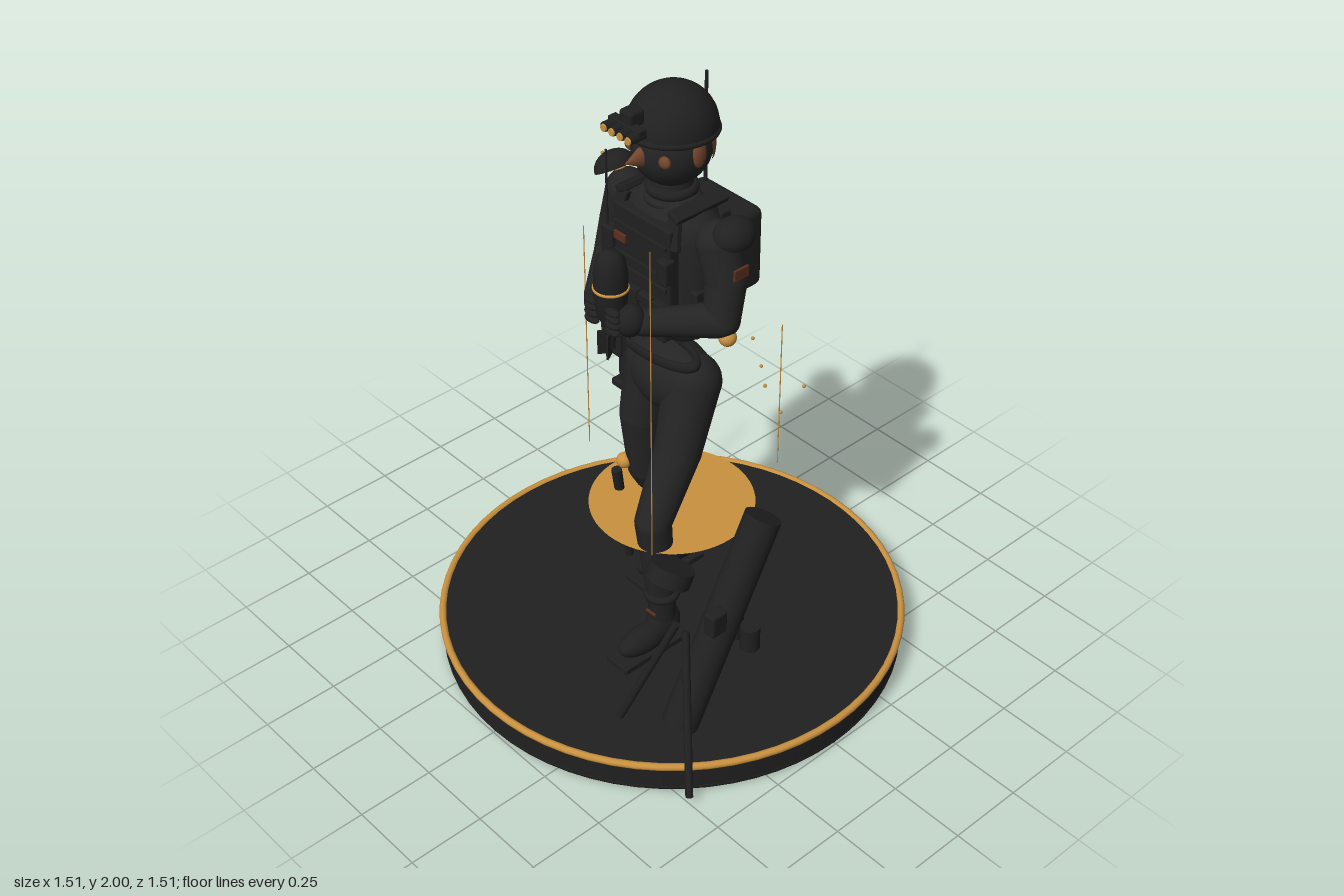
import * as THREE from 'three';
import { RoundedBoxGeometry } from 'three/addons/geometries/RoundedBoxGeometry.js';

const V = (x, y, z) => new THREE.Vector3(x, y, z);
const material = (name, color, side = THREE.FrontSide) => {
  const m = new THREE.MeshStandardMaterial({ color, side });
  m.name = name;
  return m;
};

export function createModel() {
  const root = new THREE.Group();
  root.name = 'soldierWithMortar';
  const cloth = material('charcoalCloth', 0x242424, THREE.DoubleSide);
  const gear = material('blackGear', 0x202020, THREE.DoubleSide);
  const gold = material('gold', 0xc9913f, THREE.DoubleSide);
  const skin = material('brownSkin', 0x74462d);
  const rust = material('rustPatch', 0x5c2f1e);

  const add = (name, geo, mat, x = 0, y = 0, z = 0, rx = 0, ry = 0, rz = 0) => {
    const m = new THREE.Mesh(geo, mat);
    m.name = name;
    m.position.set(x, y, z);
    m.rotation.set(rx, ry, rz);
    root.add(m);
    return m;
  };
  const ball = (name, mat, x, y, z, rx, ry = rx, rz = rx) =>
    add(name, new THREE.SphereGeometry(1, 24, 16).scale(rx, ry, rz), mat, x, y, z);
  const box = (name, mat, w, h, d, ...at) =>
    add(name, new RoundedBoxGeometry(w, h, d, 2, Math.min(w, h, d) * 0.2), mat, ...at);
  // tapered rod between two points
  const rod = (name, mat, a, b, ra, rb = ra, seg = 20) => {
    const d = b.clone().sub(a);
    const m = add(name, new THREE.CylinderGeometry(rb, ra, d.length(), seg), mat);
    m.position.copy(a).addScaledVector(d, 0.5);
    m.quaternion.setFromUnitVectors(V(0, 1, 0), d.normalize());
    return m;
  };
  // rounded chain of rods: each entry is [x, y, z, radius]
  const limb = (name, mat, pts) => pts.forEach((p, i) => {
    ball(name + 'Joint', mat, p[0], p[1], p[2], p[3]);
    const q = pts[i + 1];
    if (q) rod(name, mat, V(p[0], p[1], p[2]), V(q[0], q[1], q[2]), p[3], q[3]);
  });
  const ring = (name, mat, r, t, x, y, z, sx = 1, sz = 1) =>
    add(name, new THREE.TorusGeometry(r, t, 10, 64).rotateX(Math.PI / 2).scale(sx, 1, sz), mat, x, y, z);

  // Display base and floating disc
  add('base', new THREE.CylinderGeometry(0.745, 0.745, 0.095, 96), gear, 0, 0.0575, 0);
  ring('baseLowerEdge', gear, 0.735, 0.012, 0, 0.012, 0);
  ring('baseRim', gold, 0.745, 0.012, 0, 0.1, 0);
  add('floatingDisc', new THREE.CircleGeometry(0.263, 64).rotateX(-Math.PI / 2), gold, 0, 0.52, 0);

  // Legs: left steps forward, right trails behind
  ball('pelvis', cloth, 0, 1.02, 0, 0.165, 0.125, 0.105);
  limb('leftLeg', cloth, [[0.085, 1.03, -0.005, 0.09], [0.105, 0.82, 0.07, 0.074],
    [0.112, 0.6, 0.18, 0.058], [0.122, 0.3, 0.158, 0.046]]);
  limb('rightLeg', cloth, [[-0.085, 1.03, -0.005, 0.09], [-0.105, 0.82, 0.025, 0.074],
    [-0.112, 0.6, 0.01, 0.058], [-0.122, 0.3, -0.145, 0.046]]);
  for (const [side, x, z] of [['left', 0.126, 0.158], ['right', -0.122, -0.14]]) {
    ring(side + 'Gaiter', gear, 0.044, 0.014, x, 0.31, z);
    rod(side + 'BootShaft', gear, V(x, 0.18, z), V(x, 0.3, z), 0.048, 0.042);
    ball(side + 'BootHeel', gear, x, 0.19, z - 0.005, 0.05, 0.07, 0.058);
    ball(side + 'BootToe', gear, x, 0.16, z + 0.075, 0.046, 0.046, 0.1);
    box(side + 'Sole', gear, 0.095, 0.022, 0.265, x, 0.115, z + 0.06);
    box(side + 'BootTab', rust, 0.04, 0.008, 0.008, x, 0.25, z + 0.046);
  }
  ball('kneeStud', gold, -0.145, 0.63, 0.07, 0.026);
  box('holster', gear, 0.04, 0.13, 0.07, -0.165, 0.98, 0.02);
  box('holsterGrip', gear, 0.03, 0.06, 0.045, -0.168, 1.05, 0.02);
  box('holsterStrap', gear, 0.07, 0.025, 0.1, -0.165, 0.91, 0.02);
  rod('scabbard', gear, V(-0.155, 0.6, 0.095), V(-0.155, 0.22, 0.045), 0.017, 0.013, 10);

  // Torso and belt
  const profile = [[0.001, 1.18], [0.1, 1.19], [0.145, 1.23], [0.16, 1.33], [0.172, 1.45],
    [0.18, 1.56], [0.165, 1.62], [0.11, 1.655], [0.07, 1.67], [0.001, 1.675]];
  add('torso', new THREE.LatheGeometry(profile.map(([x, y]) => new THREE.Vector2(x, y)), 40)
    .scale(1, 1, 0.6), cloth);
  ring('belt', gear, 0.165, 0.017, 0, 1.158, 0.065, 1, 0.38);

  // Vest, pouches and straps
  box('vestFront', gear, 0.24, 0.3, 0.04, 0, 1.47, 0.1);
  box('vestBack', gear, 0.24, 0.3, 0.04, 0, 1.45, -0.1);
  for (const x of [-0.09, -0.03, 0.03, 0.09]) {
    box('magazinePouch', gear, 0.052, 0.11, 0.045, x, 1.3, 0.115);
    box('pouchFlap', gear, 0.056, 0.03, 0.05, x, 1.36, 0.116);
  }
  for (const y of [1.42, 1.46, 1.56]) box('webbing', gear, 0.22, 0.014, 0.01, 0, y, 0.123);
  box('chestPatch', rust, 0.05, 0.026, 0.009, -0.085, 1.515, 0.124);
  box('radio', gear, 0.05, 0.1, 0.04, -0.135, 1.48, 0.115);
  box('sidePouch', gear, 0.045, 0.08, 0.04, 0.11, 1.49, 0.125);
  rod('radioAntenna', gear, V(-0.145, 1.5, 0.12), V(-0.145, 1.775, 0.12), 0.004, 0.003, 8);

  // Arms, shoulder caps and elbow studs
  for (const s of [1, -1]) {
    const side = s > 0 ? 'left' : 'right';
    limb(side + 'Arm', cloth, [[s * 0.192, 1.575, 0, 0.066], [s * 0.226, 1.46, 0, 0.062],
      [s * 0.238, 1.345, 0.025, 0.055], [s * 0.1, 1.345, 0.2, 0.04]]);
    ball(side + 'Hand', gear, s * 0.068 + 0.015, 1.36, 0.235, 0.042, 0.05, 0.045);
    for (let i = 0; i < 4; i++)
      ball(side + 'Finger', gear, s * 0.045 + 0.018, 1.335 + i * 0.022, 0.285, 0.028, 0.012, 0.016);
    ball(side + 'ElbowStud', gold, s * 0.268, 1.3, 0.03, 0.027);
    add(side + 'ShoulderCap', new THREE.SphereGeometry(0.062, 24, 10, 0, Math.PI * 2, 0, Math.PI / 2)
      .scale(0.9, 0.85, 1.1), gear, s * 0.25, 1.622, -0.005, 0, 0, -s * 0.5);
    ball(side + 'ShoulderStud', gold, s * 0.225, 1.632, 0, 0.018);
    const strap = box(side + 'ShoulderStrap', gear, 0.045, 0.022, 0.2, s * 0.11, 1.655, 0);
    strap.rotation.z = -s * 0.45;
    box(side + 'StrapFront', gear, 0.042, 0.1, 0.02, s * 0.115, 1.605, 0.096, -0.25, 0, s * 0.2);
    box(side + 'Flank', gear, 0.03, 0.16, 0.12, s * 0.155, 1.33, 0);
  }
  box('armPatch', rust, 0.009, 0.036, 0.055, 0.287, 1.515, 0);

  // Neck and head
  rod('neck', cloth, V(0, 1.64, 0), V(0, 1.74, 0), 0.066, 0.06);
  ring('collar', gear, 0.062, 0.017, 0, 1.675, 0);
  ring('scarf', cloth, 0.07, 0.014, 0, 1.645, 0);
  box('collarTrim', gold, 0.008, 0.008, 0.06, 0.082, 1.648, 0);
  ball('head', cloth, 0, 1.815, 0, 0.116, 0.125, 0.122);
  add('nape', new THREE.SphereGeometry(0.124, 24, 8, Math.PI * 1.13, Math.PI * 0.74, 1.2, 0.6),
    skin, 0, 1.815, 0);
  add('nose', new THREE.ConeGeometry(0.034, 0.065, 16).rotateX(Math.PI / 2).scale(0.6, 1, 1),
    skin, 0, 1.812, 0.145);
  for (const s of [1, -1]) {
    ball('ear', skin, s * 0.112, 1.825, 0, 0.014, 0.044, 0.024);
    ball('cheek', skin, s * 0.07, 1.815, 0.092, 0.022, 0.02, 0.014);
  }

  // Helmet with night-vision tubes
  add('helmet', new THREE.SphereGeometry(0.135, 36, 16, 0, Math.PI * 2, 0, Math.PI / 2)
    .scale(0.95, 1, 1.03), gear, 0, 1.865, 0, -0.06);
  ring('helmetBrim', gear, 0.13, 0.009, 0, 1.865, 0, 0.96, 1.04).rotation.x = -0.06;
  box('visionMount', gear, 0.05, 0.05, 0.055, 0, 1.952, 0.148);
  box('visionBridge', gear, 0.13, 0.018, 0.03, 0, 1.932, 0.165);
  for (const x of [-0.05, -0.017, 0.017, 0.05]) {
    rod('visionTube', gear, V(x, 1.92, 0.15), V(x, 1.92, 0.205), 0.015, 0.015, 12);
    rod('visionLens', gold, V(x, 1.918, 0.204), V(x, 1.918, 0.21), 0.012, 0.011, 12);
  }

  // Backpack, antenna and drinking hose
  box('backpack', gear, 0.26, 0.27, 0.125, 0, 1.425, -0.183);
  box('backpackStripe', gold, 0.2, 0.009, 0.009, 0, 1.49, -0.244);
  rod('packAntenna', gear, V(-0.09, 1.54, -0.215), V(-0.09, 1.925, -0.215), 0.006, 0.005, 8);
  const hose = new THREE.CatmullRomCurve3([V(0, 1.31, -0.18), V(0, 1.24, -0.17),
    V(0, 1.18, -0.155), V(0, 1.11, -0.15)]);
  add('packHose', new THREE.TubeGeometry(hose, 20, 0.017, 10), gear);
  ball('hoseStud', gold, 0, 1.16, -0.168, 0.02);

  // Mortar shell held at the chest
  const shell = [[0.001, 1.24], [0.02, 1.25], [0.022, 1.31], [0.044, 1.37], [0.05, 1.43],
    [0.05, 1.5], [0.042, 1.545], [0.025, 1.567], [0.001, 1.573]];
  add('shell', new THREE.LatheGeometry(shell.map(([x, y]) => new THREE.Vector2(x, y)), 28),
    gear, 0.02, 0, 0.252);
  ring('shellBand', gold, 0.049, 0.005, 0.02, 1.45, 0.252);
  for (let i = 0; i < 3; i++)
    add('shellFin', new THREE.BoxGeometry(0.085, 0.08, 0.006), gear, 0.02, 1.265, 0.252, 0, i * Math.PI / 3);

  // Mortar tube, loose muzzle ring, bipod and sight
  rod('mortarTube', gear, V(0.44, 0.11, 0.37), V(0.44, 0.745, 0.035), 0.058, 0.058, 28);
  add('muzzleRing', new THREE.CylinderGeometry(0.068, 0.068, 0.05, 28), gear, 0.44, 0.745, 0.408, -0.47);
  for (const s of [1, -1])
    rod('bipodLeg', gear, V(0.445 + s * 0.02, 0.51, 0.37), V(0.445 + s * 0.18, 0.03, 0.5), 0.012, 0.012, 12);
  box('mortarSight', gear, 0.045, 0.08, 0.06, 0.51, 0.53, 0.293);

  // Ammunition cans
  for (const x of [0.185, 0.26, 0.335])
    add('can', new THREE.CylinderGeometry(0.033, 0.033, 0.09, 20), gear, x, 0.147, -0.028);

  // Hairline beams and drifting sparks
  for (const [x, z, top] of [[0.213, 0.275, 1.67], [-0.35, 0.04, 1.39], [0.135, -0.33, 1.105]])
    rod('beam', gold, V(x, 0.57, z), V(x, top, z), 0.0018, 0.0018, 6);
  for (const [x, y, z] of [[0.265, 0.96, -0.3], [0.065, 0.92, -0.315], [0.055, 0.68, -0.42],
    [-0.325, 1.63, -0.02], [0.335, 1.12, -0.06], [0.2, 1.18, -0.14]])
    add('spark', new THREE.SphereGeometry(0.006, 8, 6), gold, x, y, z);

  return root;
}
